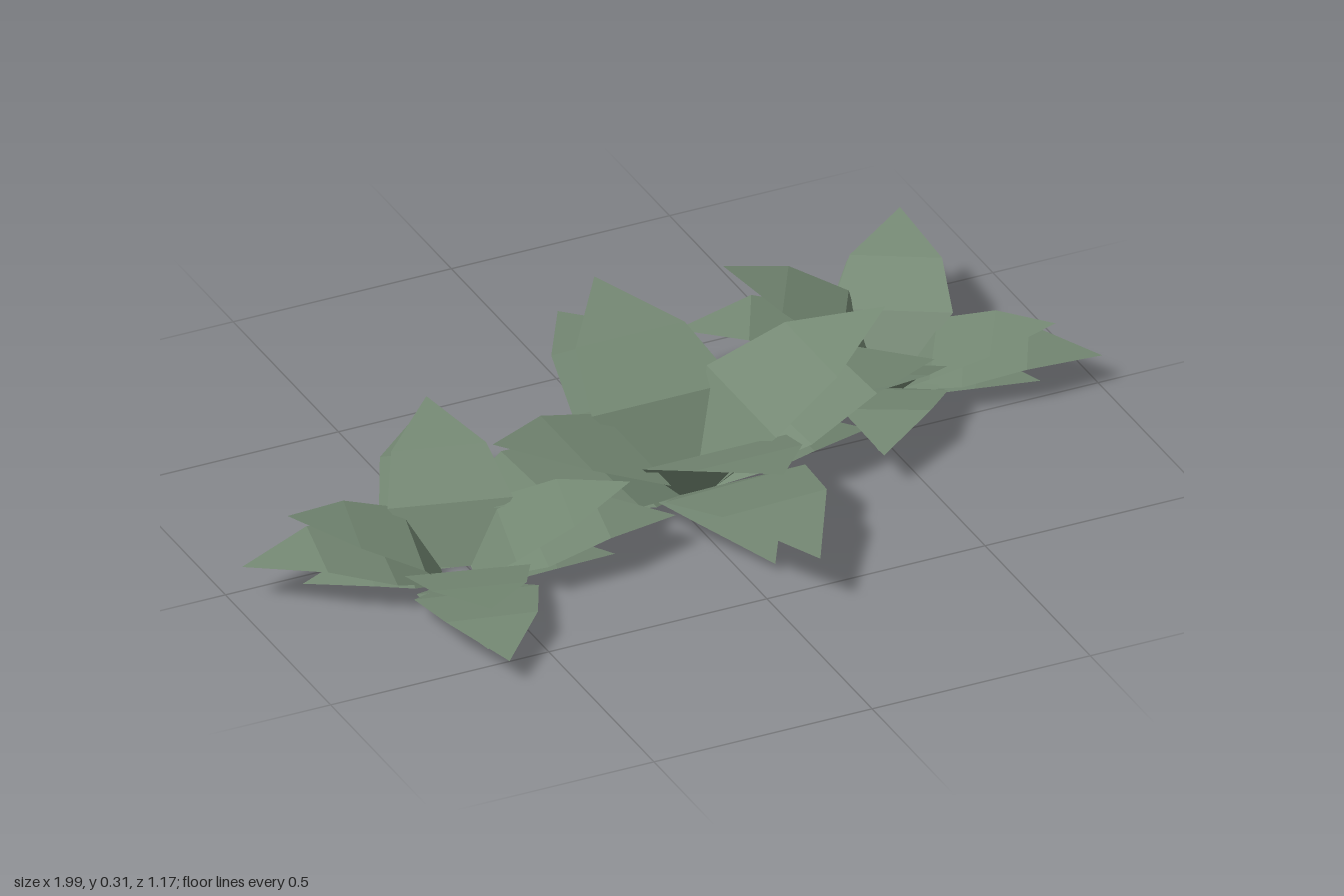
import * as THREE from 'three';

// Leaf layers as cross-sections [half width, distance from stem, height]; each ends in a tip
const LAYERS = [
  { name: 'upperLeaf', twist: 0, sections: [[0.04, 0.04, 0], [0.165, 0.12, 0.135], [0.125, 0.28, 0.205], [0, 0.45, 0.255]] },
  { name: 'middleLeaf', twist: 2.4, sections: [[0.04, 0.04, 0], [0.165, 0.2, 0.1], [0.122, 0.375, 0.143], [0, 0.575, 0.113]] },
  { name: 'lowerLeaf', twist: 0, sections: [[0.04, 0.04, 0], [0.138, 0.14, 0.06], [0.1, 0.24, 0.055], [0, 0.41, 0.02]] },
];

// Plants: place, size, turn, and the height factor of the front, left, back and right leaves
const PLANTS = [
  { name: 'centrePlant', x: 0.0625, z: 0, size: 1, turn: 0, lift: [1, 1.2, 1, 0.8] },
  { name: 'rightPlant', x: -0.53, z: 0.135, size: 0.8, turn: -15, lift: [0.61, 0.9, 1.08, 0.88] },
  { name: 'leftPlant', x: 0.615, z: -0.195, size: 0.765, turn: -29.5, lift: [0.9, 0.77, 1.1, 1.34] },
];

// Folded leaf blade: two quads and a pointed end
function leafGeometry(sections) {
  const points = [];
  for (const [w, d, h] of sections.slice(0, -1)) points.push(-w, h, d, w, h, d);
  const tip = sections[sections.length - 1];
  points.push(0, tip[2], tip[1]);
  const index = [];
  const last = sections.length - 2;
  for (let i = 0; i < last; i++) {
    const a = i * 2;
    index.push(a, a + 2, a + 1, a + 1, a + 2, a + 3);
  }
  index.push(last * 2, last * 2 + 2, last * 2 + 1);
  const geometry = new THREE.BufferGeometry();
  geometry.setAttribute('position', new THREE.Float32BufferAttribute(points, 3));
  geometry.setIndex(index);
  const flat = geometry.toNonIndexed();
  flat.computeVertexNormals();
  return flat;
}

export function createModel() {
  const model = new THREE.Group();
  model.name = 'plantCluster';
  const green = new THREE.MeshStandardMaterial({ color: 0x748873, side: THREE.DoubleSide, flatShading: true });
  green.name = 'sageGreen';
  const blades = LAYERS.map((layer) => leafGeometry(layer.sections));

  for (const p of PLANTS) {
    const plant = new THREE.Group();
    plant.name = p.name;
    plant.position.set(p.x, 0, p.z);
    plant.rotation.y = THREE.MathUtils.degToRad(p.turn);
    plant.scale.setScalar(p.size);
    // Four leaves around the stem in each layer
    LAYERS.forEach((layer, n) => {
      p.lift.forEach((lift, i) => {
        const leaf = new THREE.Mesh(blades[n], green);
        leaf.name = layer.name;
        leaf.rotation.y = i * Math.PI / 2 + THREE.MathUtils.degToRad(layer.twist);
        leaf.scale.y = lift;
        plant.add(leaf);
      });
    });
    model.add(plant);
  }
  return model;
}
